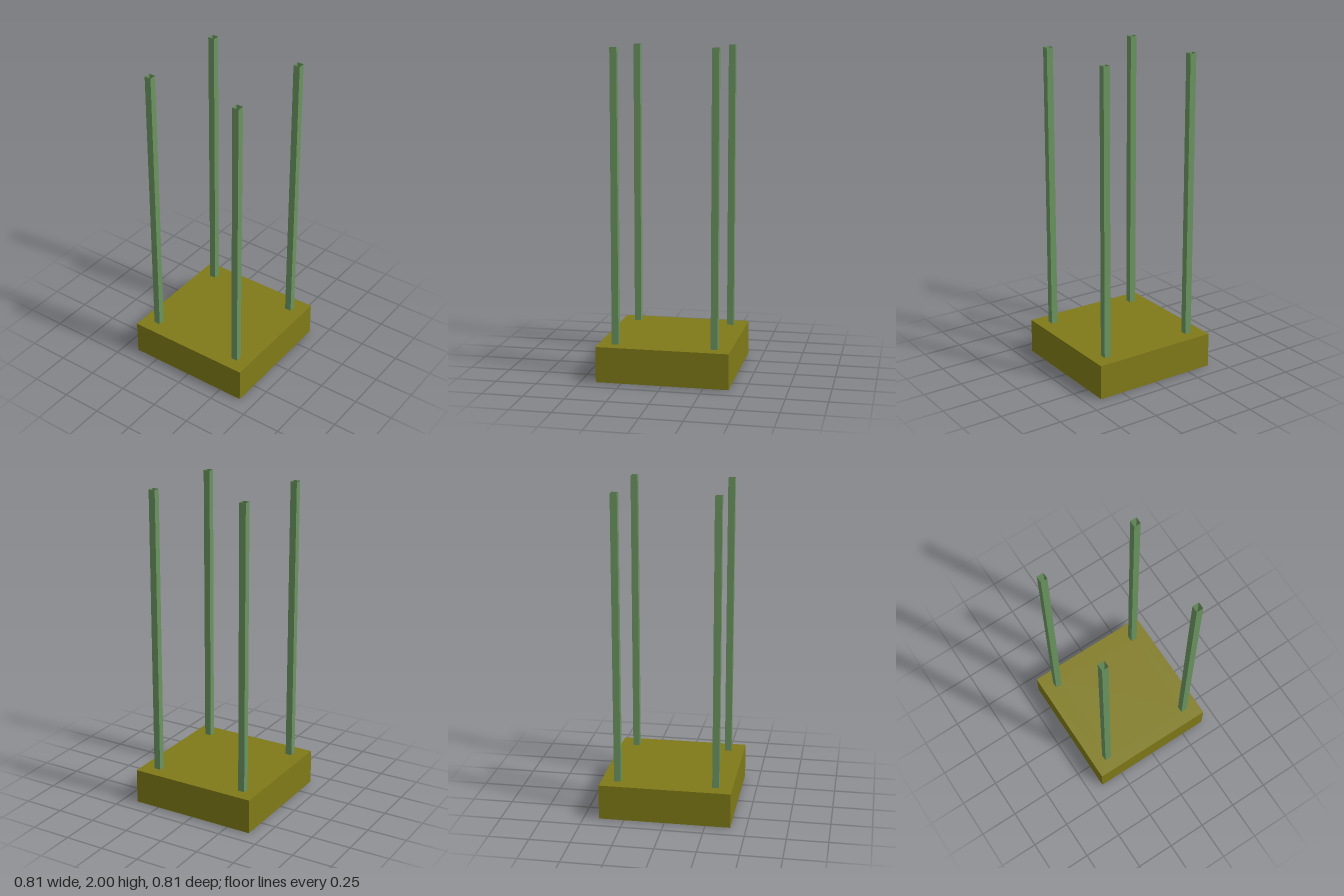
import * as THREE from 'three';

const HALF = 0.404, BASE_H = 0.22, HEIGHT = 2;
const POST = 0.303, POST_HALF = 0.021;

// Square outline of half-width h around (x, y)
function square(PathType, x, y, h) {
  const p = new PathType();
  p.moveTo(x - h, y - h);
  p.lineTo(x + h, y - h);
  p.lineTo(x + h, y + h);
  p.lineTo(x - h, y + h);
  p.closePath();
  return p;
}

export function createModel() {
  const model = new THREE.Group();
  const olive = new THREE.MeshStandardMaterial({ color: 0x7f7a18 });
  const green = new THREE.MeshStandardMaterial({ color: 0x6b9460, side: THREE.DoubleSide, flatShading: true });
  const grey = new THREE.MeshStandardMaterial({ color: 0xcccccc, side: THREE.DoubleSide });
  const corners = [[-1, -1], [1, -1], [1, 1], [-1, 1]].map(([x, z]) => [x * POST, z * POST]);

  // Base block with a square socket under each hollow post
  const outline = square(THREE.Shape, 0, 0, HALF);
  for (const [x, z] of corners) outline.holes.push(square(THREE.Path, x, z, POST_HALF));
  const baseGeometry = new THREE.ExtrudeGeometry(outline, { depth: BASE_H - 0.002, bevelEnabled: false });
  baseGeometry.rotateX(-Math.PI / 2);
  const base = new THREE.Mesh(baseGeometry, olive);
  base.name = 'base';
  base.position.y = 0.002;
  model.add(base);

  // Inset panel on the underside, also closing the sockets
  const panel = new THREE.Mesh(new THREE.PlaneGeometry(2 * HALF - 0.04, 2 * HALF - 0.04), grey);
  panel.name = 'bottomPanel';
  panel.rotation.x = Math.PI / 2;
  model.add(panel);

  // Four square posts, open at the top
  const radius = POST_HALF * Math.SQRT2;
  const postGeometry = new THREE.CylinderGeometry(radius, radius, HEIGHT - BASE_H, 4, 1, true);
  postGeometry.rotateY(Math.PI / 4);
  for (const [x, z] of corners) {
    const post = new THREE.Mesh(postGeometry, green);
    post.name = (z > 0 ? 'front' : 'back') + (x > 0 ? 'Left' : 'Right') + 'Post';
    post.position.set(x, (HEIGHT + BASE_H) / 2, z);
    model.add(post);
  }
  return model;
}
